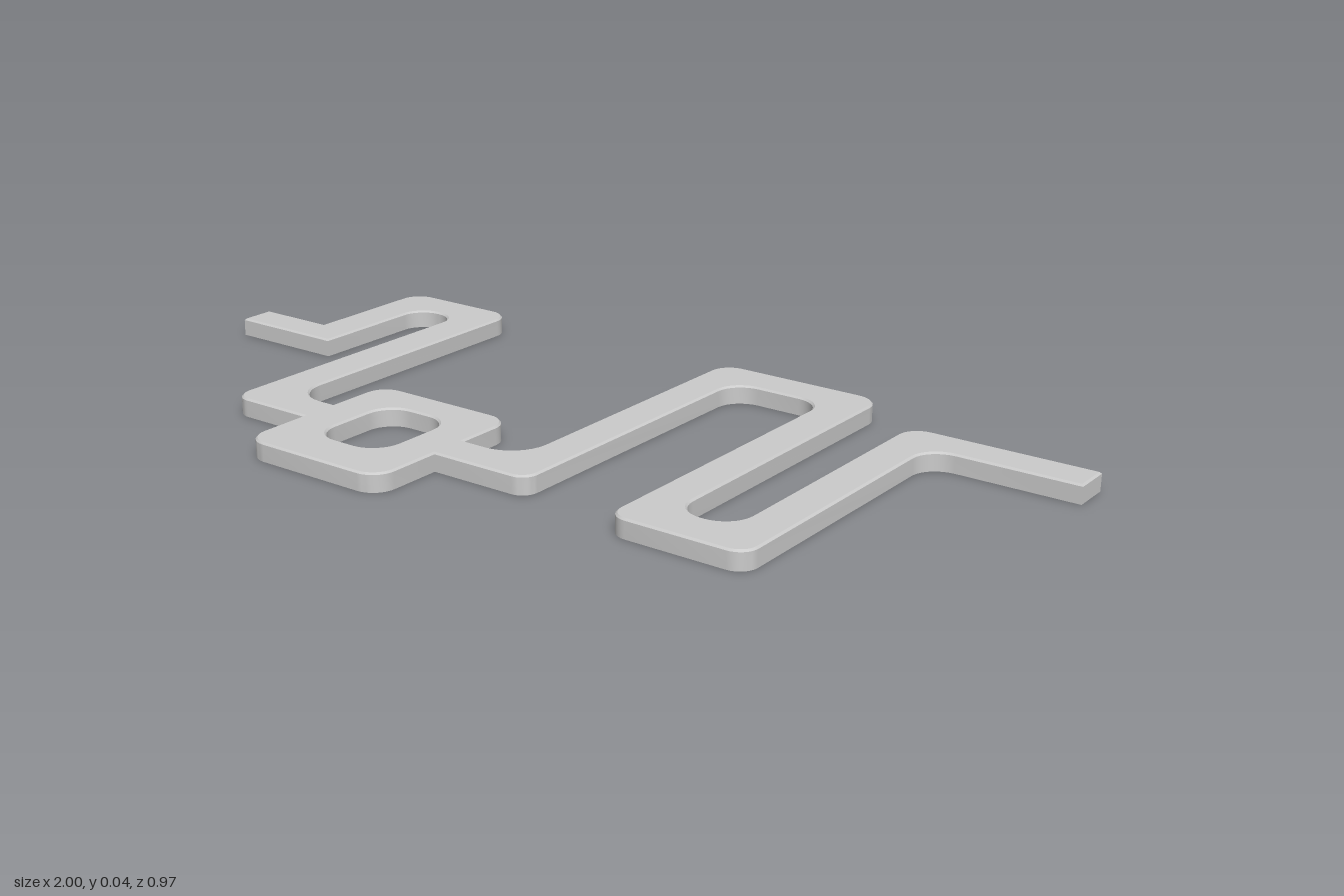
import * as THREE from 'three';
import { toCreasedNormals } from 'three/addons/utils/BufferGeometryUtils.js';

const HEIGHT = 0.04, BEVEL = 0.004;

// Draws a closed path through corners [x, z, radius], rounding each corner
function roundedPath(path, corners) {
  const k = 0.5523, n = corners.length;
  const pts = corners.map(([x, z]) => new THREE.Vector2(x, -z));
  corners.forEach(([, , r = 0], i) => {
    const p = pts[i];
    const toPrev = pts[(i + n - 1) % n].clone().sub(p).normalize();
    const toNext = pts[(i + 1) % n].clone().sub(p).normalize();
    const along = (dir, d) => p.clone().addScaledVector(dir, d);
    const a = along(toPrev, r), b = along(toNext, r);
    if (i === 0) path.moveTo(a.x, a.y); else path.lineTo(a.x, a.y);
    if (r > 0) {
      const c = along(toPrev, r * (1 - k)), d = along(toNext, r * (1 - k));
      path.bezierCurveTo(c.x, c.y, d.x, d.y, b.x, b.y);
    }
  });
  path.closePath();
  return path;
}

// Removes the triangles under the wall foot, leaving the underside open
function openUnderside(geometry) {
  const src = geometry.toNonIndexed ? (geometry.index ? geometry.toNonIndexed() : geometry) : geometry;
  const p = src.attributes.position, kept = [];
  for (let i = 0; i < p.count; i += 3) {
    if (p.getZ(i) + p.getZ(i + 1) + p.getZ(i + 2) < 1e-5) continue;
    for (let j = i; j < i + 3; j++) kept.push(p.getX(j), p.getY(j), p.getZ(j));
  }
  const out = new THREE.BufferGeometry();
  out.setAttribute('position', new THREE.Float32BufferAttribute(kept, 3));
  return out;
}

export function createModel() {
  const group = new THREE.Group();
  group.name = 'meanderStrip';

  // Outline: back edge from left to right, then front edge back again
  const outline = roundedPath(new THREE.Shape(), [
    [-1, -0.16], [-0.82, -0.16], [-0.82, -0.485, 0.05], [-0.525, -0.485, 0.05],
    [-0.525, 0.235, 0.08], [-0.41, 0.235],
    [-0.41, 0.085, 0.05], [-0.06, 0.085, 0.05], [-0.06, 0.235],
    [0.08, 0.235, 0.08], [0.08, -0.48, 0.05], [0.47, -0.48, 0.05],
    [0.47, 0.275, 0.06], [0.595, 0.275, 0.06], [0.595, -0.37, 0.05],
    [1, -0.37], [1, -0.285], [0.68, -0.285, 0.06],
    [0.68, 0.365, 0.04], [0.385, 0.365, 0.04], [0.385, -0.39, 0.06],
    [0.165, -0.39, 0.06], [0.165, 0.32, 0.035], [-0.06, 0.32],
    [-0.06, 0.485, 0.05], [-0.41, 0.485, 0.05], [-0.41, 0.32],
    [-0.615, 0.32, 0.04], [-0.615, -0.395, 0.055], [-0.73, -0.395, 0.055],
    [-0.73, -0.08], [-1, -0.08],
  ]);

  // Opening of the rectangular ring
  outline.holes.push(roundedPath(new THREE.Path(), [
    [-0.32, 0.165, 0.06], [-0.32, 0.385, 0.06], [-0.15, 0.385, 0.06], [-0.15, 0.165, 0.06],
  ]));

  // Hollow strip: top, fine bevel and side walls, open below
  const solid = new THREE.ExtrudeGeometry(outline, {
    depth: HEIGHT - BEVEL, curveSegments: 8,
    bevelEnabled: true, bevelThickness: BEVEL, bevelSize: BEVEL, bevelOffset: -BEVEL, bevelSegments: 1,
  });
  const geometry = toCreasedNormals(openUnderside(solid).rotateX(-Math.PI / 2), 0.5);
  const strip = new THREE.Mesh(
    geometry,
    new THREE.MeshStandardMaterial({ color: 0xcccccc, side: THREE.DoubleSide }),
  );
  strip.name = 'strip';
  group.add(strip);
  return group;
}
